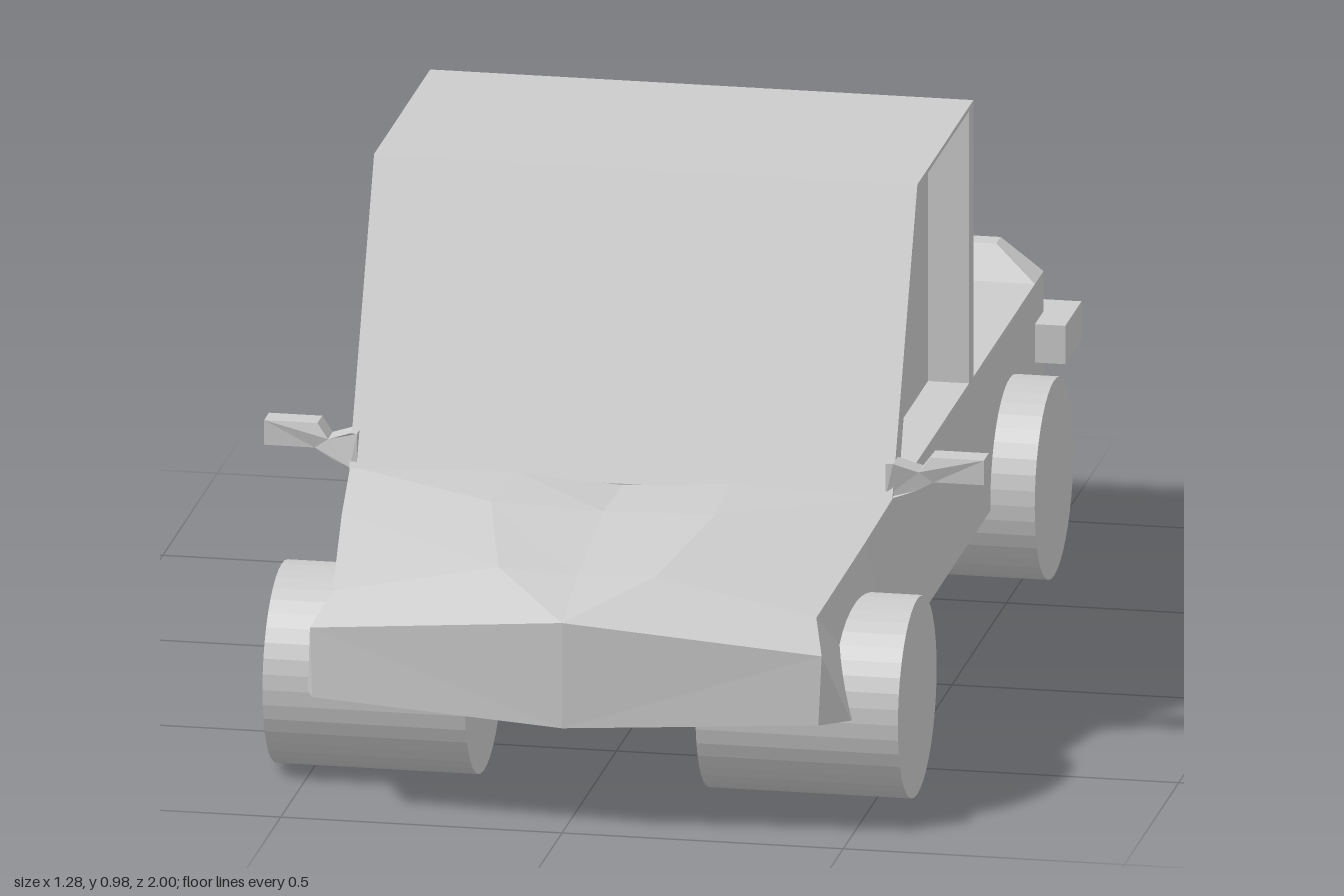
import * as THREE from 'three';

const material = new THREE.MeshStandardMaterial({ color: 0xcccccc, flatShading: true });

function add(parent, name, geometry, x = 0, y = 0, z = 0) {
  const mesh = new THREE.Mesh(geometry, material);
  mesh.name = name;
  mesh.position.set(x, y, z);
  parent.add(mesh);
  return mesh;
}

const shapeOf = (points) => new THREE.Shape(points.map(([a, b]) => new THREE.Vector2(a, b)));

// Side profile given as [z, y], extruded across the car
function sideProfile(points, width) {
  const g = new THREE.ExtrudeGeometry(shapeOf(points), { depth: width, bevelEnabled: false });
  return g.translate(0, 0, -width / 2).rotateY(-Math.PI / 2);
}

// Faceted hood: half sections from bottom centre round to top centre, mirrored
function hoodGeometry() {
  const rows = [
    [[0, 0.187, 0.45], [0.483, 0.187, 0.45], [0.483, 0.478, 0.45], [0.19, 0.488, 0.45], [0, 0.472, 0.45]],
    [[0, 0.187, 0.62], [0.483, 0.187, 0.62], [0.465, 0.444, 0.62], [0.2, 0.482, 0.62], [0, 0.475, 0.62]],
    [[0, 0.187, 0.84], [0.483, 0.187, 0.84], [0.43, 0.385, 0.885], [0.14, 0.437, 0.86], [0, 0.43, 0.86]],
    [[0, 0.193, 1.0], [0.45, 0.215, 0.97], [0.455, 0.34, 0.965], [0.15, 0.37, 0.988], [0, 0.385, 1.0]],
  ];
  const out = [];
  const tri = (a, b, c) => {
    out.push(...a, ...b, ...c);
    for (const [x, y, z] of [a, c, b]) out.push(-x, y, z);
  };
  for (let i = 0; i < 3; i++) {
    for (let j = 0; j < 4; j++) {
      const a = rows[i][j], b = rows[i + 1][j], c = rows[i + 1][j + 1], d = rows[i][j + 1];
      tri(a, d, c);
      tri(a, c, b);
    }
  }
  // Nose
  const nose = rows[3];
  for (let j = 1; j < 4; j++) tri(nose[0], nose[j], nose[j + 1]);
  const g = new THREE.BufferGeometry();
  g.setAttribute('position', new THREE.Float32BufferAttribute(out, 3));
  g.computeVertexNormals();
  return g;
}

// Tapered tail lip leaning out over the rear
function spoilerGeometry() {
  const g = new THREE.BoxGeometry(2, 2, 2);
  const p = g.attributes.position;
  for (let i = 0; i < p.count; i++) {
    const top = p.getY(i) > 0, front = p.getZ(i) > 0;
    const z = top ? (front ? -0.925 : -0.965) : (front ? -0.85 : -0.93);
    p.setXYZ(i, p.getX(i) * (top ? 0.4 : 0.483), top ? 0.525 : 0.478, z);
  }
  g.computeVertexNormals();
  return g;
}

// Wing mirror with a bent stem; it drifts backwards as it leaves the body
function mirrorGeometry(side) {
  const points = [[0.47, 0.478], [0.483, 0.478], [0.52, 0.488], [0.55, 0.503], [0.64, 0.503],
    [0.64, 0.548], [0.545, 0.548], [0.525, 0.522], [0.483, 0.54], [0.47, 0.54]];
  const g = new THREE.ExtrudeGeometry(shapeOf(points.map(([x, y]) => [x * side, y])),
    { depth: 0.045, bevelEnabled: false });
  const p = g.attributes.position;
  for (let i = 0; i < p.count; i++) {
    const t = Math.min(1, Math.max(0, (Math.abs(p.getX(i)) - 0.483) / 0.06));
    p.setZ(i, p.getZ(i) + 0.41 - 0.025 * t);
  }
  g.computeVertexNormals();
  return g;
}

export function createModel() {
  const model = new THREE.Group();
  model.name = 'pickupTruck';

  // Body
  add(model, 'body', new THREE.BoxGeometry(0.966, 0.291, 1.38), 0, 0.3325, -0.24);
  add(model, 'hood', hoodGeometry());
  add(model, 'spoiler', spoilerGeometry());

  // Cab: windscreen, roof and back wall around recessed side windows
  const inner = [[0.405, 0.478], [0.2, 0.975], [-0.245, 0.975], [-0.245, 0.478]];
  add(model, 'cabFrame', sideProfile(
    [[0.46, 0.478], [0.23, 0.983], [-0.285, 0.983], [-0.285, 0.478], ...inner.slice().reverse()], 0.966));
  add(model, 'sideWindows', sideProfile(inner, 0.82));

  // Wheels, mirrors and rear lights on both sides
  for (const side of [1, -1]) {
    const label = side > 0 ? 'left' : 'right';
    const wheel = new THREE.CylinderGeometry(0.178, 0.178, 0.36, 40).rotateZ(Math.PI / 2);
    add(model, label + 'FrontWheel', wheel, side * 0.385, 0.18, 0.655);
    add(model, label + 'RearWheel', wheel, side * 0.382, 0.198, -0.618);
    add(model, label + 'Mirror', mirrorGeometry(side));
    add(model, label + 'RearLight', new THREE.BoxGeometry(0.12, 0.07, 0.15), side * 0.477, 0.37, -0.925);
  }
  return model;
}
